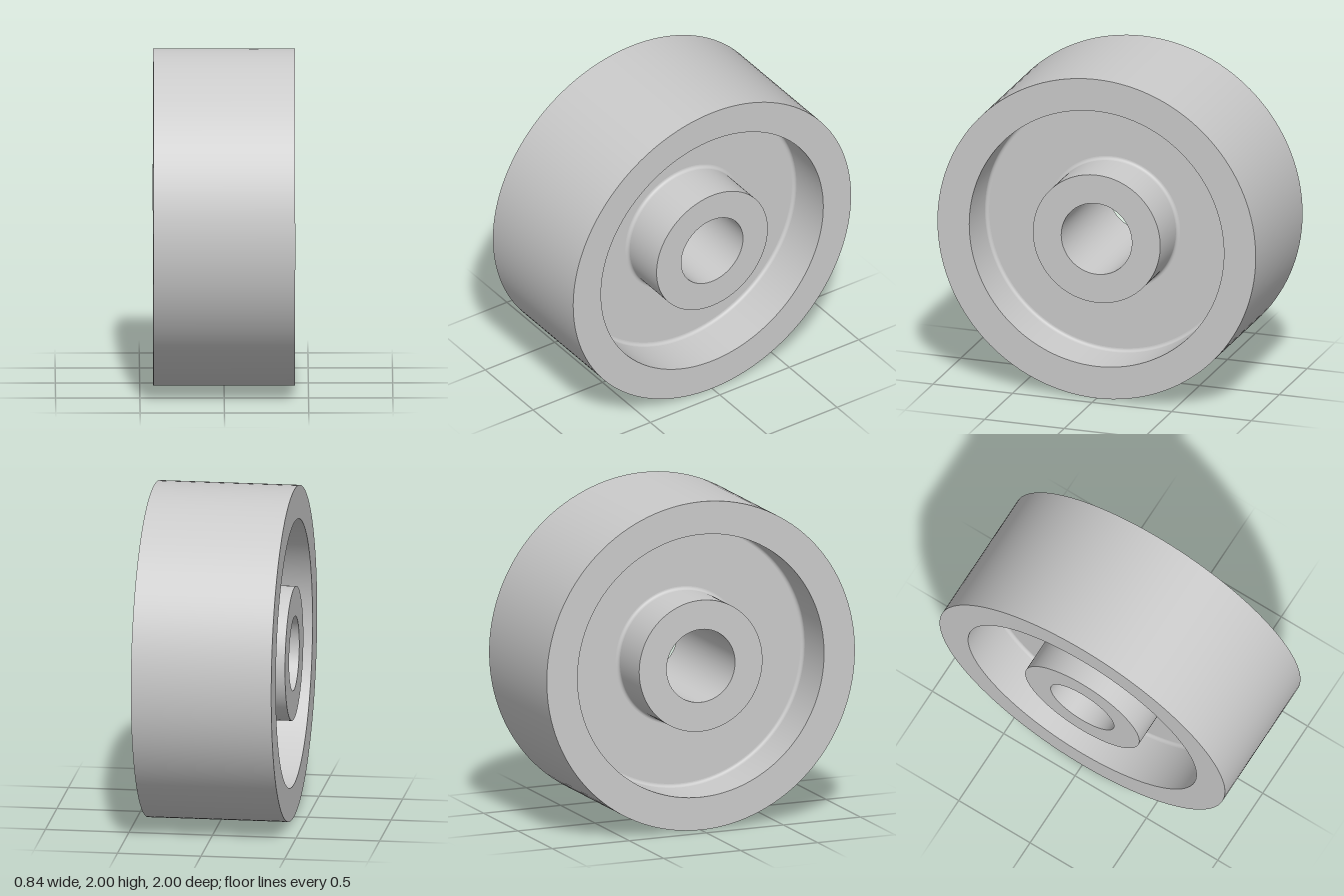
import * as THREE from 'three';

const HALF_WIDTH = 0.42, WEB = 0.12; // half thicknesses of the rim and the web
const TYRE_R = 1, RIM_R = 0.8, HUB_R = 0.4, BORE_R = 0.222;
const FILLET = 0.02;

export function createModel() {
  const metal = new THREE.MeshStandardMaterial({ name: 'lightGrey', color: 0xcacaca });

  // One turned surface; separate surfaces keep the edges between them sharp
  const turned = (parent, name, points) => {
    const profile = points.map(([r, h]) => new THREE.Vector2(r, h));
    const mesh = new THREE.Mesh(new THREE.LatheGeometry(profile, 128), metal);
    mesh.name = name;
    parent.add(mesh);
  };

  // Quarter-round profile in the corner between the web and a wall
  const fillet = (r, startAngle) => Array.from({ length: 7 }, (_, i) => {
    const a = startAngle - (i / 6) * Math.PI / 2;
    return [r + FILLET * Math.cos(a), WEB + FILLET + FILLET * Math.sin(a)];
  });

  const wheel = new THREE.Group();
  wheel.name = 'wheel';

  // Surfaces running the full width
  turned(wheel, 'tread', [[TYRE_R, -HALF_WIDTH], [TYRE_R, HALF_WIDTH]]);
  turned(wheel, 'axleBore', [[BORE_R, HALF_WIDTH], [BORE_R, -HALF_WIDTH]]);

  // Recessed side, repeated on both faces
  for (const name of ['leftSide', 'rightSide']) {
    const side = new THREE.Group();
    side.name = name;
    turned(side, 'rimFace', [[TYRE_R, HALF_WIDTH], [RIM_R, HALF_WIDTH]]);
    turned(side, 'rimWall', [[RIM_R, HALF_WIDTH], [RIM_R, WEB + FILLET]]);
    turned(side, 'rimFillet', fillet(RIM_R - FILLET, 0));
    turned(side, 'web', [[RIM_R - FILLET, WEB], [HUB_R + FILLET, WEB]]);
    turned(side, 'hubFillet', fillet(HUB_R + FILLET, -Math.PI / 2));
    turned(side, 'hubWall', [[HUB_R, WEB + FILLET], [HUB_R, HALF_WIDTH]]);
    turned(side, 'hubFace', [[HUB_R, HALF_WIDTH], [BORE_R, HALF_WIDTH]]);
    if (name === 'rightSide') side.rotation.x = Math.PI;
    wheel.add(side);
  }

  // Lay the axle along x and stand the wheel on the ground
  wheel.rotation.z = -Math.PI / 2;
  wheel.position.y = TYRE_R;

  const model = new THREE.Group();
  model.add(wheel);
  return model;
}
